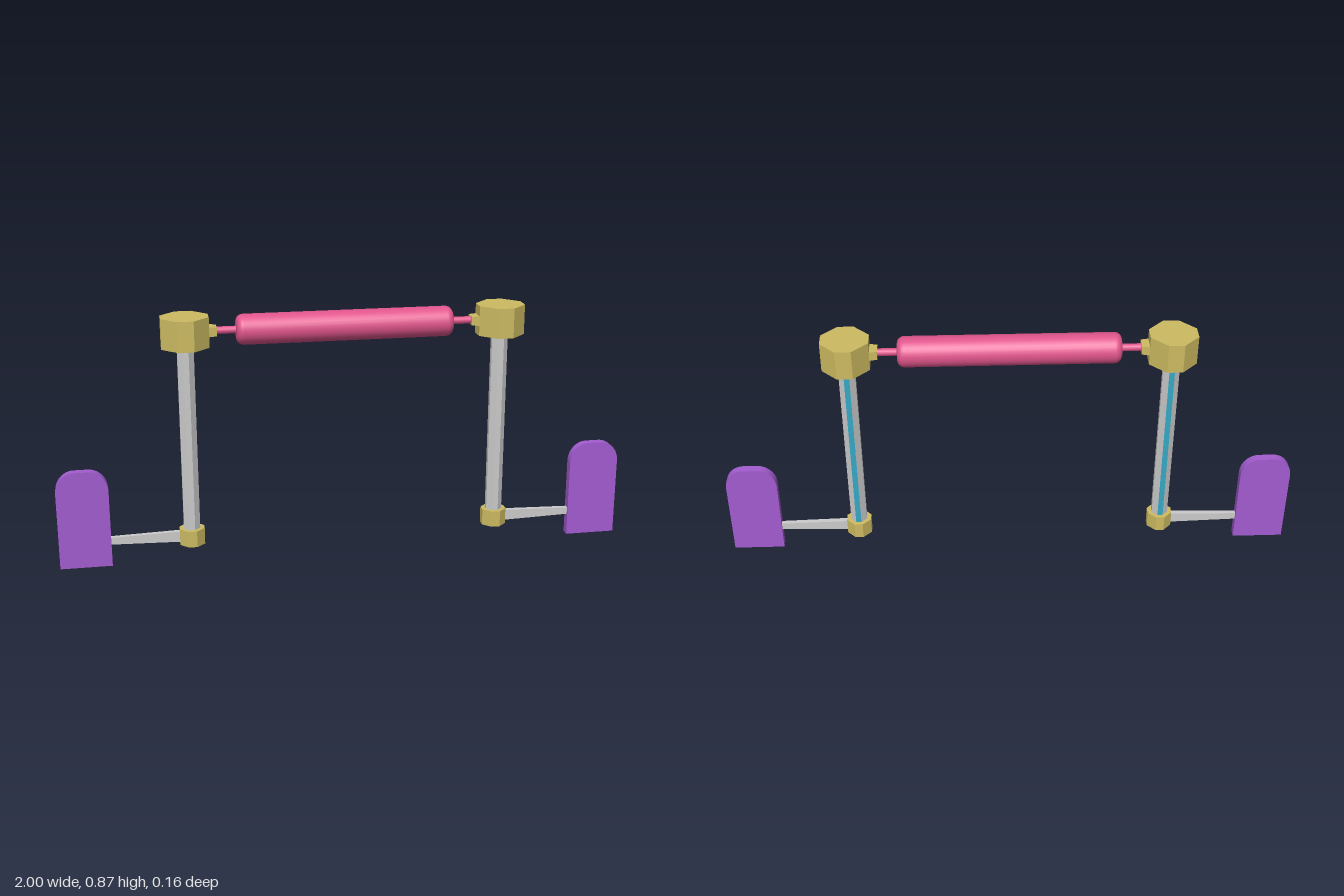
import * as THREE from 'three';

const mat = (color, flatShading = true) => new THREE.MeshStandardMaterial({ color, flatShading });
const grey = mat(0xcccccc);
const brass = mat(0xcdbb62);
const purple = mat(0xa35cd0);
const pink = mat(0xe0558c, false);
const cyan = mat(0x35a8c4);

function add(parent, name, geometry, material, x = 0, y = 0, z = 0) {
  const mesh = new THREE.Mesh(geometry, material);
  mesh.name = name;
  mesh.position.set(x, y, z);
  parent.add(mesh);
  return mesh;
}

// Upright eight-sided prism: a square with its corners cut at the thirds
function octPrism(r, height) {
  const t = r / 3;
  const pts = [[r, -t], [r, t], [t, r], [-t, r], [-r, t], [-r, -t], [-t, -r], [t, -r]];
  const shape = new THREE.Shape(pts.map(([x, y]) => new THREE.Vector2(x, y)));
  return new THREE.ExtrudeGeometry(shape, { depth: height, bevelEnabled: false }).rotateX(-Math.PI / 2);
}

// Box along x whose +x end is scaled in y and z
function taperedBox(x0, x1, h, d, scaleY, scaleZ) {
  const g = new THREE.BoxGeometry(x1 - x0, h, d);
  const p = g.attributes.position;
  for (let i = 0; i < p.count; i++) {
    if (p.getX(i) > 0) {
      p.setY(i, p.getY(i) * scaleY);
      p.setZ(i, p.getZ(i) * scaleZ);
    }
  }
  g.computeVertexNormals();
  return g.translate((x0 + x1) / 2, 0, 0);
}

// Upright plate with a rounded top
function paddleGeometry(w, h, thick) {
  const rx = 0.065, ry = 0.072;
  const s = new THREE.Shape();
  s.moveTo(-w / 2, 0);
  s.lineTo(w / 2, 0);
  s.lineTo(w / 2, h - ry);
  s.absellipse(w / 2 - rx, h - ry, rx, ry, 0, Math.PI / 2, false);
  s.absellipse(-w / 2 + rx, h - ry, rx, ry, Math.PI / 2, Math.PI, false);
  s.closePath();
  return new THREE.ExtrudeGeometry(s, { depth: thick, bevelEnabled: false, curveSegments: 6 })
    .translate(0, 0, -thick / 2);
}

// Handlebar profile: thick grip with rounded ends
function gripGeometry(halfLength, r, bevel) {
  const pts = [new THREE.Vector2(0, -halfLength)];
  for (const end of [-1, 1]) {
    for (let i = 0; i <= 6; i++) {
      const a = (end < 0 ? i : 6 - i) / 6 * Math.PI / 2;
      pts.push(new THREE.Vector2(r - bevel + bevel * Math.sin(a),
        end * (halfLength - bevel + bevel * Math.cos(a))));
    }
  }
  pts.push(new THREE.Vector2(0, halfLength));
  return new THREE.LatheGeometry(pts, 32).rotateZ(Math.PI / 2);
}

export function createModel() {
  const model = new THREE.Group();
  model.name = 'crankFrame';
  const barY = 0.818, armY = 0.089;

  // Cross bar
  add(model, 'grip', gripGeometry(0.372, 0.052, 0.024), pink, 0, barY);
  add(model, 'barRod', new THREE.CylinderGeometry(0.013, 0.013, 0.9, 16).rotateZ(Math.PI / 2), pink, 0, barY);

  // One leg assembly on each side
  for (const s of [1, -1]) {
    const side = new THREE.Group();
    side.name = s > 0 ? 'leftSide' : 'rightSide';
    if (s < 0) side.rotation.y = Math.PI;
    model.add(side);
    const x = 0.543;
    add(side, 'topHub', octPrism(0.08, 0.104), brass, x, 0.766);
    add(side, 'barSocket', taperedBox(0.437, 0.465, 0.03, 0.046, 1.1, 1.16), brass, 0, barY);
    add(side, 'post', octPrism(0.028, 0.65), grey, x, 0.117);
    add(side, 'bottomHub', octPrism(0.043, 0.058), brass, x, 0.06);
    add(side, 'arm', taperedBox(0.584, 0.825, 0.038, 0.018, 0.66, 0.9), grey, 0, armY);
    add(side, 'paddle', paddleGeometry(0.178, 0.348, 0.03), purple, 0.911, 0);

    // Coloured strip on the back face of the post
    add(model, 'postStrip', new THREE.PlaneGeometry(0.0187, 0.648).rotateY(Math.PI), cyan, s * x, 0.442, -0.0285);
  }
  return model;
}
